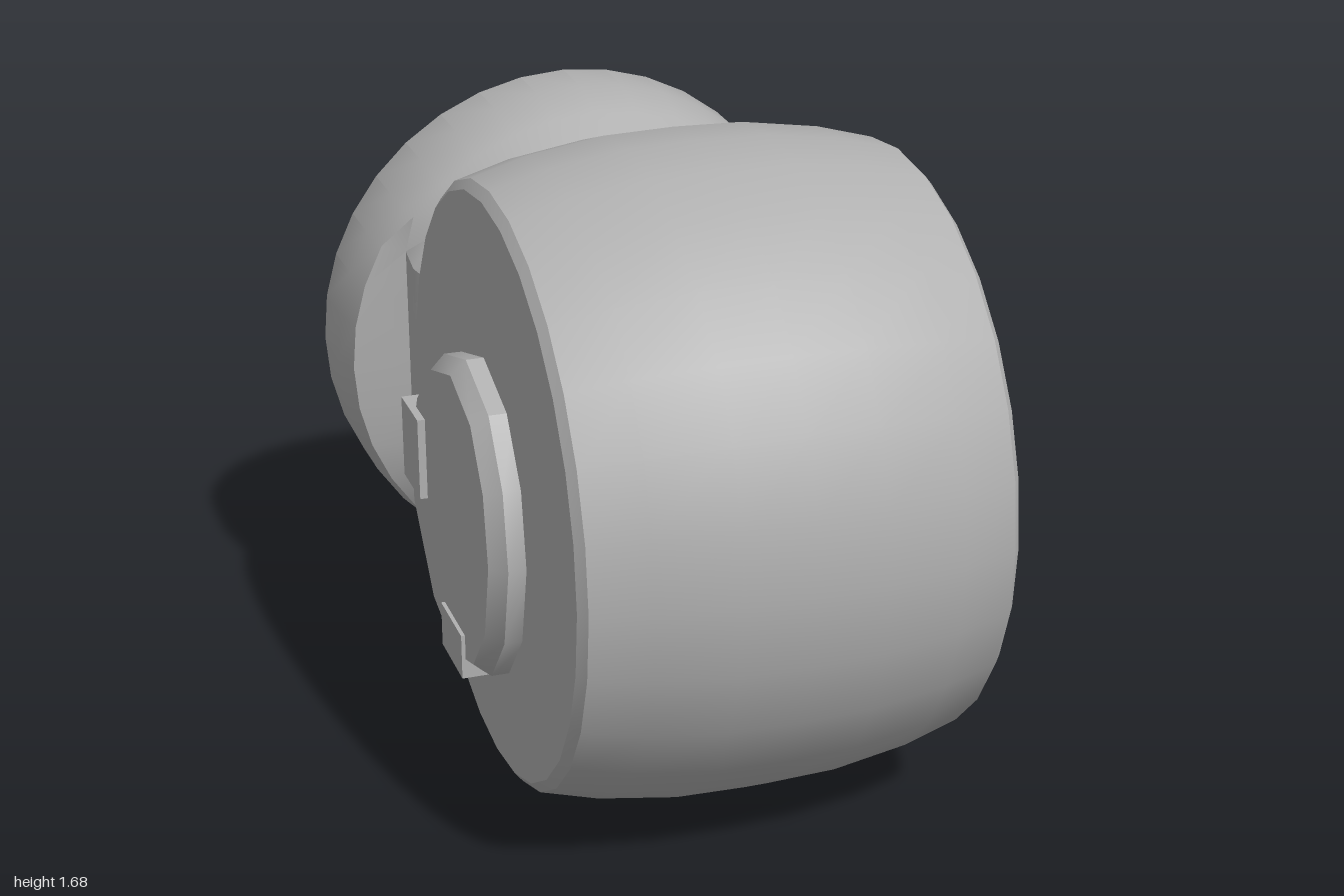
import * as THREE from 'three';
import { toCreasedNormals } from 'three/addons/utils/BufferGeometryUtils.js';

const CY = 0.84;

// revolve [radius, height] pairs around the y axis
function revolve(points, sides) {
  return new THREE.LatheGeometry(points.map(([r, h]) => new THREE.Vector2(r, h)), sides);
}

export function createModel() {
  const group = new THREE.Group();
  const grey = new THREE.MeshStandardMaterial({ color: 0xb0b0b0 });
  grey.name = 'grey';

  function add(name, geometry, x, y, z) {
    const mesh = new THREE.Mesh(toCreasedNormals(geometry, 0.5), grey);
    mesh.name = name;
    mesh.position.set(x, y, z);
    group.add(mesh);
  }

  // barrel-shaped body, axis along x
  const half = [[0, 0.545], [0.74, 0.545], [0.765, 0.525], [0.805, 0.38], [0.835, 0.18]];
  const profile = [...half.map(([r, h]) => [r, -h]), [0.84, 0], ...half.slice().reverse()];
  add('drum', revolve(profile, 28).rotateZ(-Math.PI / 2), 0, CY, 0.16);

  // flared rear knob, axis along z, with a shallow dish, centre boss and socket
  const knob = revolve([
    [0.55, 0.3], [0.56, 0.42], [0.575, 0.5], [0.625, 0.6], [0.67, 0.68], [0.687, 0.72],
    [0.707, 0.82], [0.71, 0.98], [0.7, 1], [0.655, 0.995], [0.63, 0.955],
    [0.33, 0.95],
  ], 36).rotateX(-Math.PI / 2);
  // the neck is cut flush with the drum sides
  const p = knob.attributes.position;
  for (let i = 0; i < p.count; i++) {
    if (p.getZ(i) > -0.69) p.setX(i, THREE.MathUtils.clamp(p.getX(i), -0.538, 0.538));
  }
  add('knob', knob, 0, CY, 0);
  add('boss', revolve([[0.33, 0.945], [0.25, 0.98], [0.13, 0.975]], 12).rotateX(-Math.PI / 2), 0, CY, 0);
  add('socket', revolve([[0.13, 0.975], [0.1, 0.88], [0, 0.88]], 6).rotateX(-Math.PI / 2), 0, CY, 0);

  // raised pad on the right side: outline in (z, y)
  const outline = [[-0.3, 0.62], [-0.12, 0.42], [0.1, 0.36], [0.28, 0.42], [0.4, 0.56], [0.45, 0.76],
    [0.42, 0.94], [0.32, 1.08], [0.14, 1.14], [-0.06, 1.08], [-0.22, 0.94], [-0.3, 0.8]];
  const pad = new THREE.ExtrudeGeometry(new THREE.Shape(outline.map(([z, y]) => new THREE.Vector2(z, y))), {
    depth: 0.06, bevelEnabled: true, bevelThickness: 0.04, bevelSize: 0.035, bevelSegments: 1,
  }).rotateY(-Math.PI / 2);
  add('sidePad', pad, -0.53, 0, 0);
  add('padBlock', new THREE.BoxGeometry(0.12, 0.22, 0.17), -0.59, 0.8, -0.23);
  add('padFoot', new THREE.BoxGeometry(0.11, 0.12, 0.2), -0.585, 0.4, 0.1);

  return group;
}
